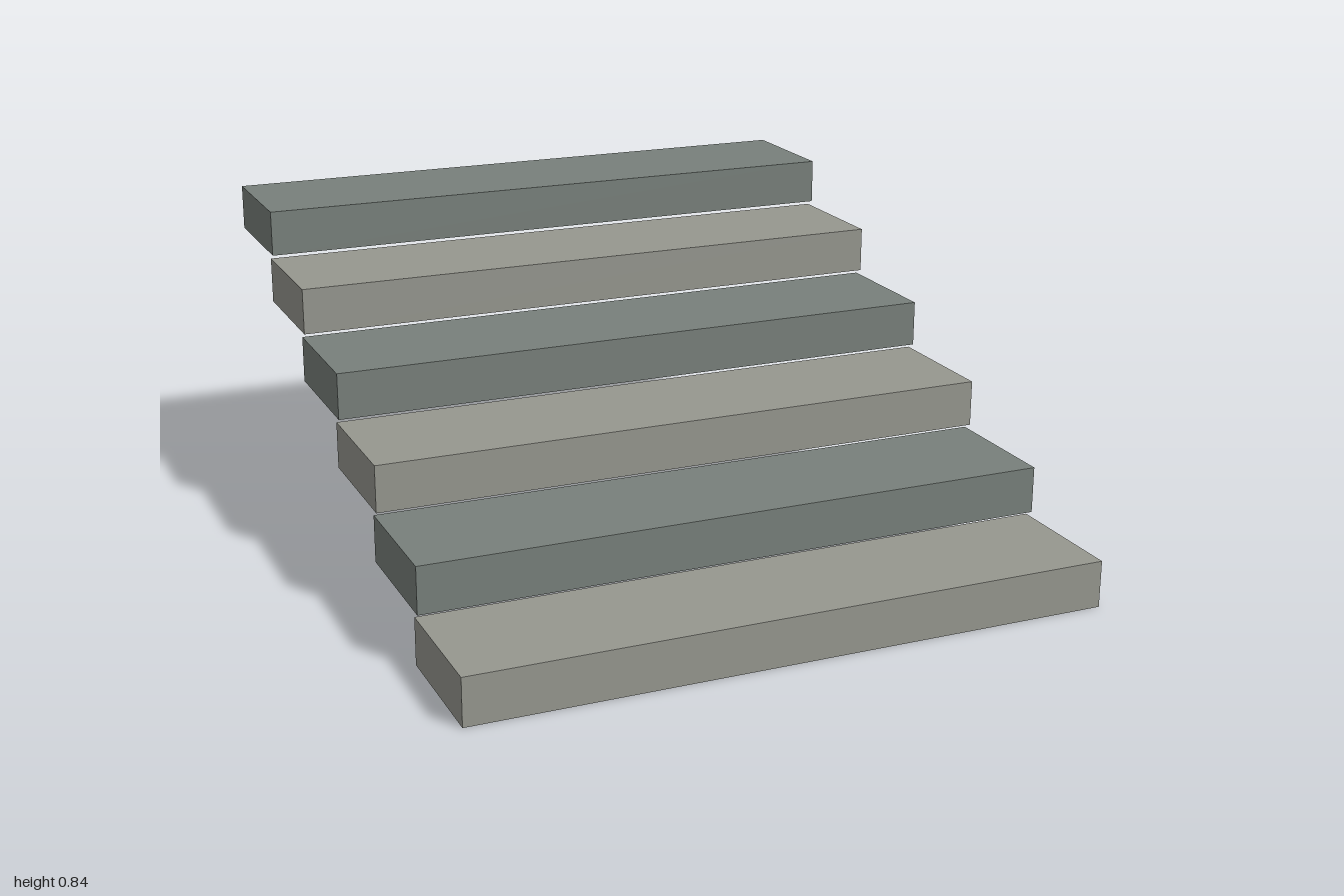
import * as THREE from 'three';

export function createModel() {
  const group = new THREE.Group();
  group.name = 'floatingStairs';

  const count = 6, width = 1.72, height = 0.127, depth = 0.355;
  const rise = 0.1417;
  const run = (2 - depth) / (count - 1);
  const slab = new THREE.BoxGeometry(width, height, depth);

  // Two alternating stone colours
  const stones = [0x96978f, 0x78807b].map(
    (color) => new THREE.MeshStandardMaterial({ color })
  );

  // Separate slabs climbing from the front to the back
  for (let i = 0; i < count; i++) {
    const step = new THREE.Mesh(slab, stones[i % 2]);
    step.name = `step${i + 1}`;
    step.position.set(0, height / 2 + i * rise, 1 - depth / 2 - i * run);
    group.add(step);
  }
  return group;
}
